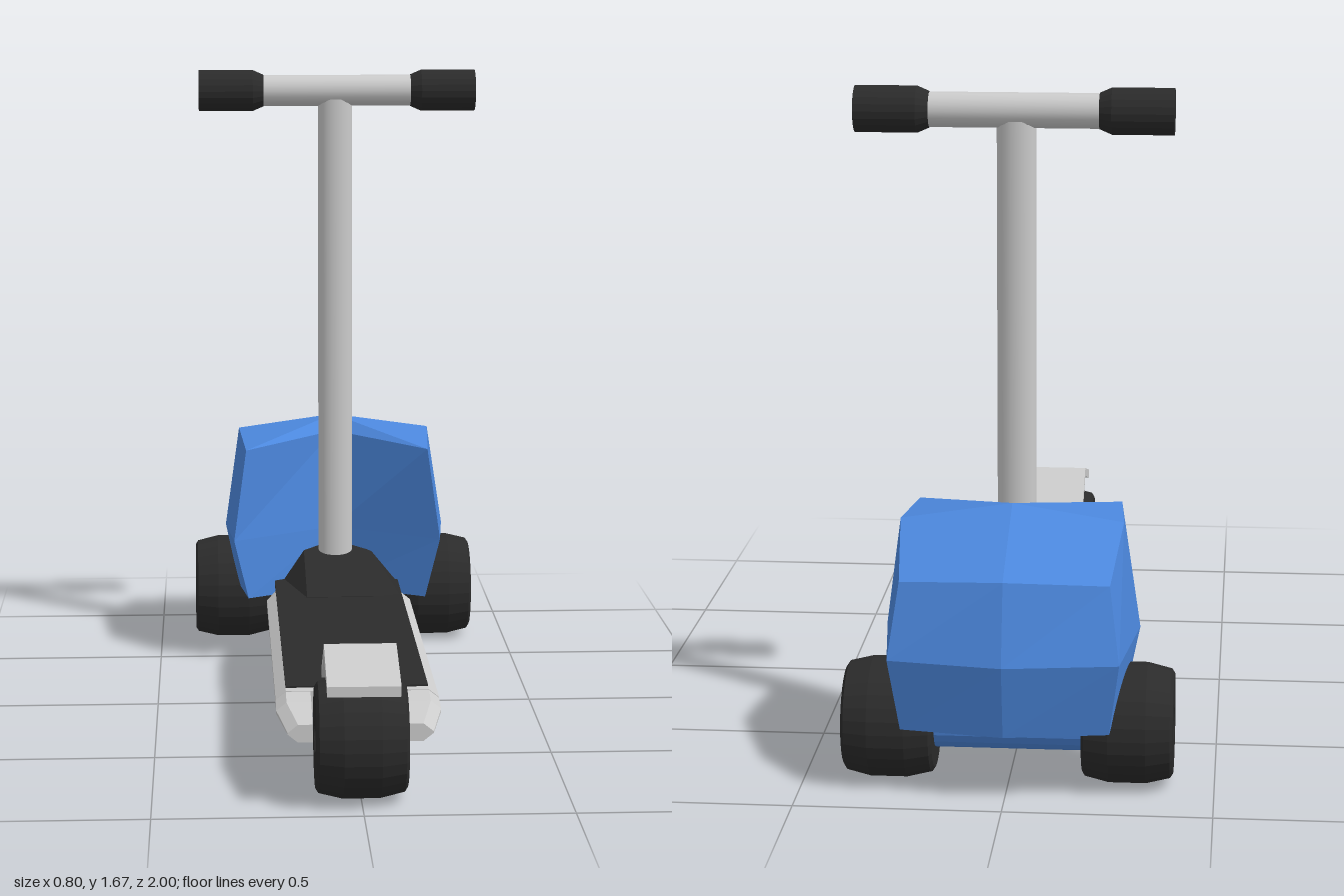
import * as THREE from 'three';

const grey = new THREE.MeshStandardMaterial({ color: 0xcccccc, flatShading: true });
const black = new THREE.MeshStandardMaterial({ color: 0x2b2b2b, flatShading: true });
const blue = new THREE.MeshStandardMaterial({ color: 0x4c88de, flatShading: true });
const greySmooth = new THREE.MeshStandardMaterial({ color: 0xcccccc });

// Closed solid through equal-length rings of [x, y, z], with fan caps from point 0
function loft(rings) {
  const tris = [];
  const n = rings[0].length;
  const V = (p) => new THREE.Vector3(...p);
  const add = (a, b, c) => {
    const t = [V(a), V(b), V(c)];
    const area = t[1].clone().sub(t[0]).cross(t[2].clone().sub(t[0])).length();
    if (area > 1e-7) tris.push(t);
  };
  for (let r = 0; r < rings.length - 1; r++) {
    for (let i = 0; i < n; i++) {
      const j = (i + 1) % n;
      add(rings[r][i], rings[r][j], rings[r + 1][j]);
      add(rings[r][i], rings[r + 1][j], rings[r + 1][i]);
    }
  }
  const first = rings[0], last = rings[rings.length - 1];
  for (let i = 1; i < n - 1; i++) {
    add(first[0], first[i + 1], first[i]);
    add(last[0], last[i], last[i + 1]);
  }
  // Turn the faces outward if the signed volume is negative
  const volume = tris.reduce((s, [a, b, c]) => s + a.dot(b.clone().cross(c)), 0);
  const points = tris.flatMap(([a, b, c]) => (volume < 0 ? [a, c, b] : [a, b, c]));
  const geo = new THREE.BufferGeometry().setFromPoints(points);
  geo.computeVertexNormals();
  return geo;
}

export function createModel() {
  const model = new THREE.Group();
  model.name = 'kickScooter';
  const add = (name, geo, mat, x = 0, y = 0, z = 0) => {
    const m = new THREE.Mesh(geo, mat);
    m.name = name;
    m.position.set(x, y, z);
    model.add(m);
    return m;
  };

  // Deck with bevelled edges, narrowing under the front shell
  const deckRing = (z, w) => [
    [-w + 0.025, 0.17, z], [w - 0.025, 0.17, z], [w, 0.19, z], [w, 0.205, z],
    [w - 0.025, 0.225, z], [-w + 0.025, 0.225, z], [-w, 0.205, z], [-w, 0.19, z],
  ];
  add('deck', loft([deckRing(-0.62, 0.17), deckRing(-0.47, 0.17), deckRing(-0.34, 0.2), deckRing(0.69, 0.2)]), grey);

  // Fork arms dropping to the rear hub
  for (const s of [1, -1]) {
    const armRing = (z, out, low, high) => [
      [s * 0.115, low, z], [s * (out - 0.025), low, z], [s * out, low + 0.02, z],
      [s * out, high - 0.02, z], [s * (out - 0.025), high, z], [s * 0.115, high, z],
    ];
    add(s > 0 ? 'leftForkArm' : 'rightForkArm', loft([
      armRing(0.68, 0.2, 0.17, 0.225), armRing(0.75, 0.2, 0.165, 0.213), armRing(0.845, 0.175, 0.14, 0.184),
    ]), grey);
  }

  // Grip pad and the faceted ramp at the foot of the post
  add('gripPad', new THREE.BoxGeometry(0.35, 0.008, 1.16), black, 0, 0.225, 0.08);
  const rampRing = (z, h) => [[-0.175, 0.22, z], [0.175, 0.22, z], [0.09, h, z], [-0.09, h, z]];
  add('ramp', loft([rampRing(-0.27, 0.23), rampRing(-0.58, 0.315)]), black);

  // Front shell: outline rings from a notch at the post, round the sides to the nose
  const shellRing = (notch, wing, side, corner, nose) => {
    const half = [wing, side, corner];
    const mirrored = half.map(([x, y, z]) => [-x, y, z]).reverse();
    return [notch, ...half, nose, ...mirrored];
  };
  const peak = [0, 0.675, -0.68];
  add('frontShell', loft([
    shellRing([0, 0.185, -0.6], [0.25, 0.19, -0.43], [0.275, 0.18, -0.66], [0.25, 0.175, -0.92], [0, 0.175, -0.96]),
    shellRing([0, 0.36, -0.6], [0.29, 0.36, -0.41], [0.312, 0.36, -0.65], [0.275, 0.36, -0.96], [0, 0.36, -1]),
    shellRing([0, 0.635, -0.63], [0.255, 0.615, -0.43], [0.272, 0.635, -0.69], [0.25, 0.54, -0.91], [0, 0.555, -0.95]),
    Array(8).fill(peak),
  ]), blue);

  // Wheels with a crowned tread and an open bore
  const wheelProfile = [
    [0.04, -0.11], [0.122, -0.11], [0.133, -0.103], [0.147, -0.045], [0.147, 0.045],
    [0.133, 0.103], [0.122, 0.11], [0.04, 0.11], [0.04, -0.11],
  ].map(([r, h]) => new THREE.Vector2(r, h));
  const wheelGeo = new THREE.LatheGeometry(wheelProfile, 28).rotateZ(Math.PI / 2);
  add('rearWheel', wheelGeo, black, 0, 0.152, 0.84);
  add('frontLeftWheel', wheelGeo, black, 0.29, 0.152, -0.76);
  add('frontRightWheel', wheelGeo, black, -0.29, 0.152, -0.76);
  add('frontAxle', new THREE.CylinderGeometry(0.07, 0.07, 0.39, 20).rotateZ(Math.PI / 2), blue, 0, 0.15, -0.76);

  // Bent mudguard over the rear wheel
  const guardRing = (y, z) => [[-0.087, y, z], [0.087, y, z], [0.087, y - 0.025, z], [-0.087, y - 0.025, z]];
  add('mudguard', loft([guardRing(0.276, 0.665), guardRing(0.373, 0.81), guardRing(0.318, 1)]), grey);

  // Steering post, oval in section
  const post = add('steeringPost', new THREE.CylinderGeometry(0.048, 0.048, 1.4, 24), greySmooth, 0, 0.89, -0.545);
  post.scale.z = 0.77;

  // Handlebar and flared grips
  add('handlebar', new THREE.CylinderGeometry(0.043, 0.043, 0.5, 16).rotateZ(Math.PI / 2), greySmooth, 0, 1.614, -0.545);
  const gripProfile = [[0, 0], [0.044, 0], [0.057, 0.03], [0.057, 0.18], [0, 0.18]]
    .map(([r, h]) => new THREE.Vector2(r, h));
  const gripGeo = new THREE.LatheGeometry(gripProfile, 20).rotateZ(-Math.PI / 2);
  add('leftGrip', gripGeo, black, 0.21, 1.614, -0.545);
  add('rightGrip', gripGeo, black, -0.2, 1.614, -0.545).rotation.y = Math.PI;

  return model;
}
